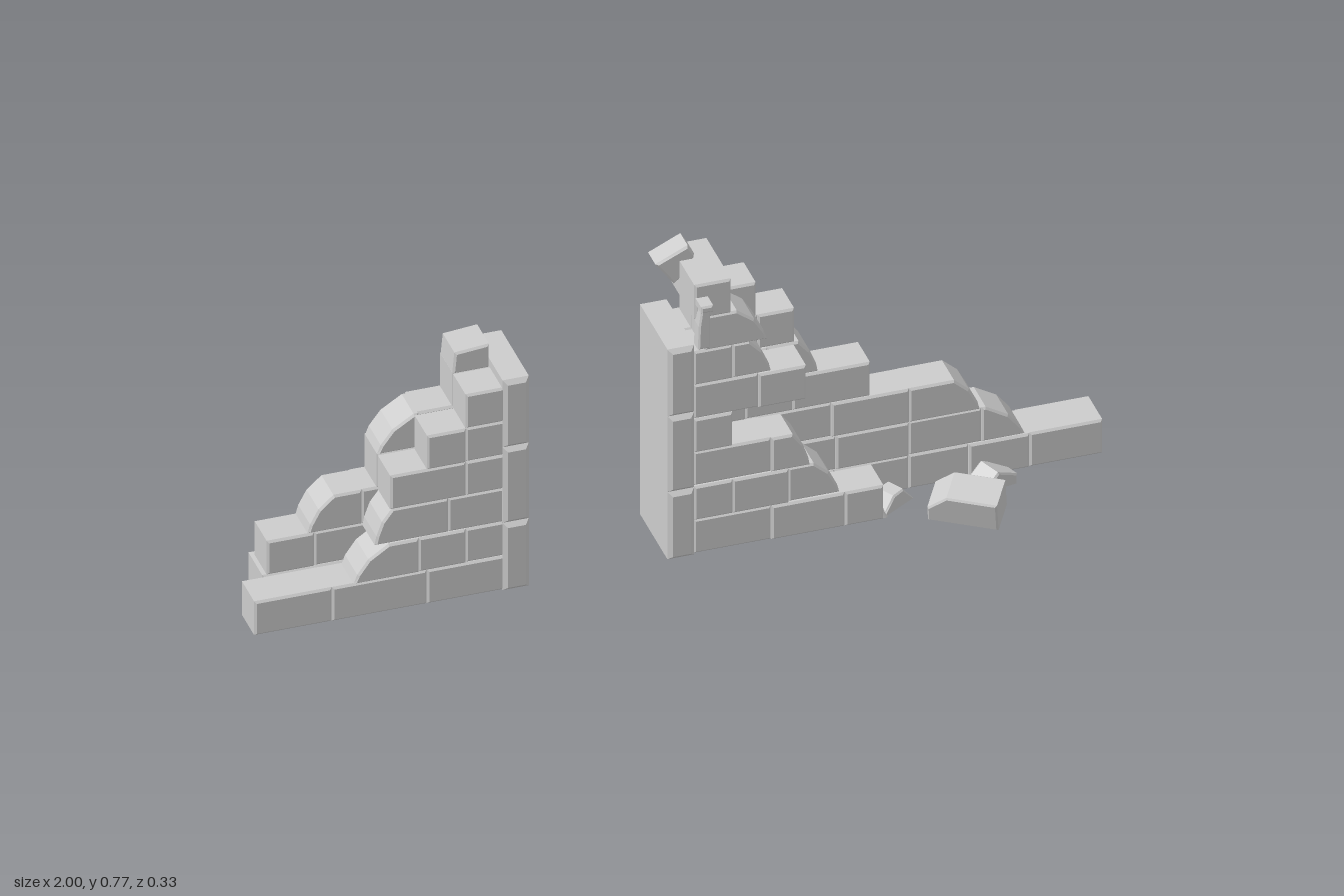
import * as THREE from 'three';

const material = new THREE.MeshStandardMaterial({ color: 0xcccccc, flatShading: true });

// Small repeatable random offset in -1..1
let seed = 7;
function rnd() {
  seed = (seed * 16807) % 2147483647;
  return (seed / 2147483647) * 2 - 1;
}

// Chamfered stone: outline in x/y, depth from z0 to z1
function stone(parent, name, outline, z0, z1, bevel = 0.005) {
  const shape = new THREE.Shape(outline.map(([x, y]) => new THREE.Vector2(x, y)));
  const geo = new THREE.ExtrudeGeometry(shape, {
    depth: z1 - z0 - 2 * bevel,
    bevelEnabled: true,
    bevelSegments: 1,
    bevelSize: bevel,
    bevelThickness: bevel,
    bevelOffset: -bevel,
  });
  geo.translate(0, 0, z0 + bevel);
  const mesh = new THREE.Mesh(geo, material);
  mesh.name = name;
  parent.add(mesh);
  return mesh;
}

const rect = (x0, y0, x1, y1) => [[x0, y0], [x1, y0], [x1, y1], [x0, y1]];

const BASE = 0.022;
const COURSE = 0.089;

// One course of bricks between the seams; cut slants the outer end of the last one
function course(parent, name, level, seams, z0, z1, cut = 0) {
  const y0 = BASE + level * COURSE;
  const y1 = y0 + COURSE;
  for (let i = 0; i < seams.length - 1; i++) {
    const a = seams[i];
    const b = seams[i + 1];
    const s = Math.sign(b - a);
    const broken = cut && i === seams.length - 2;
    const outline = broken
      ? [[a, y0], [b, y0], [b - s * cut * 0.1, y0 + 0.022], [b - s * cut * 0.42, y0 + 0.058],
        [b - s * cut, y1], [a, y1]]
      : rect(a, y0, b, y1);
    const dz = rnd() * 0.004;
    stone(parent, broken ? name + 'Broken' : name, outline, z0 + dz, z1 + dz);
  }
}

// Door jamb made of three tall stones
function jamb(parent, x0, x1) {
  const ys = [BASE, 0.2, 0.4, 0.577];
  for (let i = 0; i < 3; i++) {
    stone(parent, 'jambStone', rect(x0, ys[i], x1, ys[i + 1]), -0.17, 0.04, 0.01);
  }
}

// Rubble stone turned about its own centre
function rubble(parent, name, outline, depth, position, rotation) {
  const mesh = stone(parent, name, outline, -depth / 2, depth / 2, 0.004);
  mesh.position.set(...position);
  mesh.rotation.set(...rotation);
}

function buildWall(name, rows) {
  const wall = new THREE.Group();
  wall.name = name;
  rows.forEach(({ back, front, backCut, frontCut }, level) => {
    const zBack = level === 0 ? -0.167 : -0.154;
    course(wall, 'backBrick', level, back, zBack, -0.062, backCut);
    if (front) course(wall, 'frontBrick', level, front, -0.064, 0.03, frontCut);
  });
  return wall;
}

export function createModel() {
  const model = new THREE.Group();
  model.name = 'ruinedWall';

  // Taller wall on the +x side of the opening
  const right = buildWall('tallWall', [
    { back: [0.02, 0.2, 0.375, 0.55, 0.69, 0.83, 1], front: [0.02, 0.2, 0.37, 0.46] },
    { back: [0.02, 0.11, 0.24, 0.38, 0.55, 0.72, 0.82], backCut: 0.09,
      front: [0.02, 0.11, 0.24, 0.36], frontCut: 0.06 },
    { back: [0.02, 0.2, 0.37, 0.55, 0.715], backCut: 0.06,
      front: [0.02, 0.2, 0.29], frontCut: 0.04 },
    { back: [0.02, 0.17, 0.28, 0.46], front: [0.02, 0.11] },
    { back: [0.02, 0.1, 0.22, 0.34], backCut: 0.045, front: [0.02, 0.17, 0.28] },
    { back: [0.02, 0.11, 0.2, 0.285], front: [0.02, 0.11, 0.2], frontCut: 0.05 },
    { back: [0.045, 0.12, 0.195], front: [0.045, 0.19], frontCut: 0.07 },
  ]);
  jamb(right, -0.042, 0.02);
  stone(right, 'capBrick', rect(0.02, 0.645, 0.105, 0.735), -0.143, 0.035);

  // Chips left on top and at the front corner of the jamb
  stone(right, 'topChip', [[-0.035, 0.735], [0.008, 0.675], [0.05, 0.71], [0.055, 0.745], [0.04, 0.77]],
    -0.13, -0.07);
  stone(right, 'cornerChip', [[0.02, 0.58], [0.048, 0.58], [0.048, 0.7], [0.03, 0.7], [0.022, 0.64]],
    0.025, 0.06, 0.004);
  stone(right, 'cornerChip', rect(0.022, 0.685, 0.05, 0.702), 0.02, 0.075, 0.004);
  model.add(right);

  // Lower wall on the -x side of the opening
  const left = buildWall('lowWall', [
    { back: [-0.42, -0.59, -0.76, -0.95], front: [-0.42, -0.6, -0.82, -1] },
    { back: [-0.42, -0.52, -0.69, -0.83, -0.94], front: [-0.42, -0.51, -0.62, -0.77], frontCut: 0.08 },
    { back: [-0.42, -0.6, -0.72, -0.845], backCut: 0.06,
      front: [-0.42, -0.55, -0.72], frontCut: 0.04 },
    { back: [-0.42, -0.51, -0.685], front: [-0.42, -0.51, -0.685] },
    { back: [-0.42, -0.59, -0.685], backCut: 0.085, front: [-0.42, -0.51, -0.6] },
    { back: [-0.42, -0.51], front: [-0.42, -0.51] },
  ]);
  jamb(left, -0.425, -0.364);
  stone(left, 'topChip', [[-0.51, 0.553], [-0.425, 0.553], [-0.425, 0.615], [-0.505, 0.608]],
    -0.15, -0.06);
  model.add(left);

  // Fallen stones in front of the tall wall
  const debris = new THREE.Group();
  debris.name = 'fallenStones';
  rubble(debris, 'fallenBrick',
    [[-0.085, -0.04], [0.075, -0.04], [0.075, 0.04], [-0.04, 0.04], [-0.085, 0]],
    0.085, [0.642, 0.064, 0.078], [0.3, -0.55, 0.14]);
  rubble(debris, 'fallenWedge',
    [[-0.055, 0.0], [0.05, -0.03], [0.05, 0.0], [-0.01, 0.035]],
    0.06, [0.735, 0.032, -0.037], [0.1, 0.45, 0]);
  rubble(debris, 'fallenChip',
    [[-0.05, -0.02], [0.05, -0.015], [0.015, 0.026], [-0.015, 0.022]],
    0.05, [0.5, 0.026, -0.04], [0, 0.5, 0]);
  rubble(debris, 'fallenChip',
    [[-0.03, -0.02], [0.03, -0.02], [0.01, 0.016]],
    0.04, [0.45, 0.026, -0.015], [0, -0.3, 0.1]);
  model.add(debris);

  return model;
}
